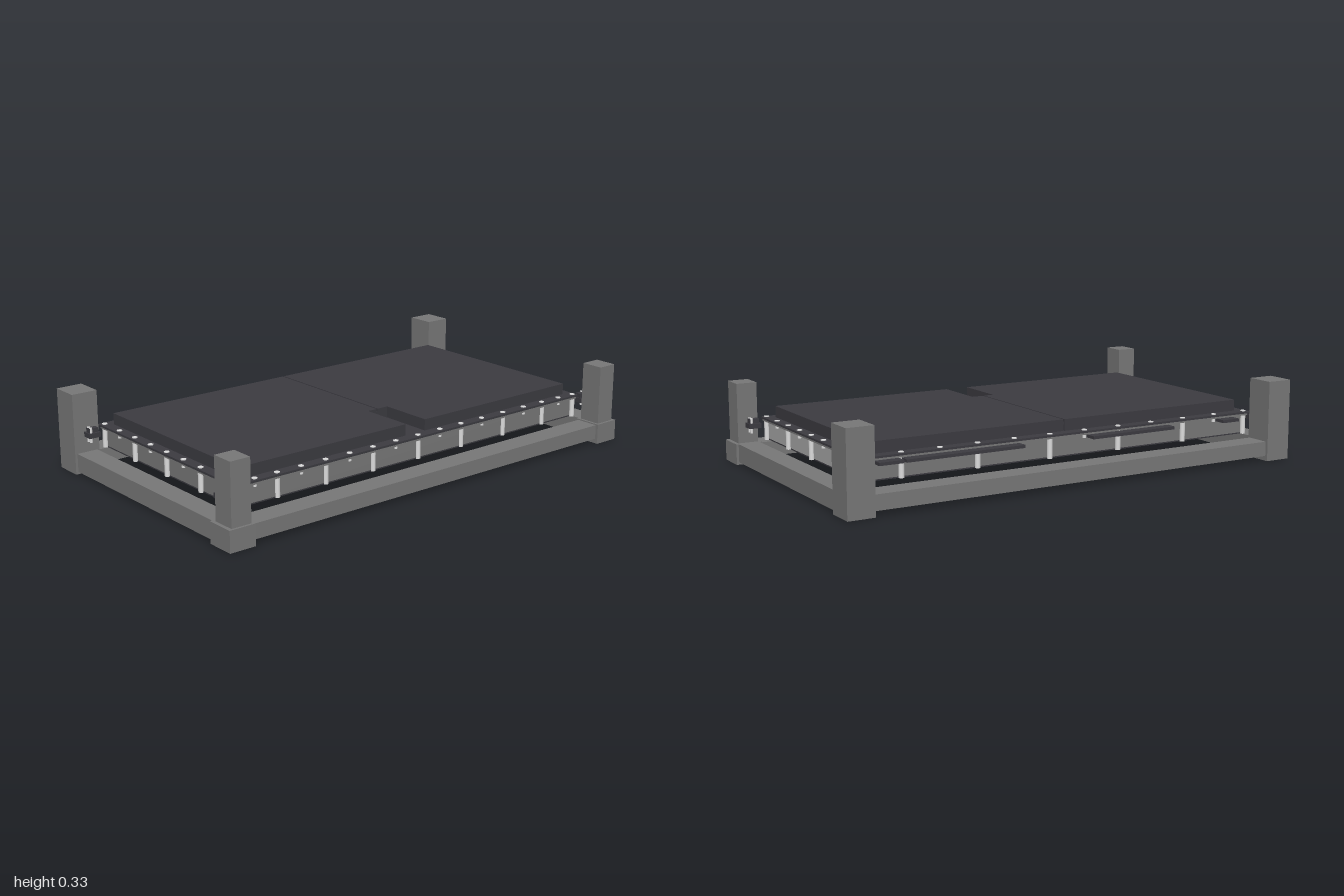
import * as THREE from 'three';

const mat = (name, color) => {
  const m = new THREE.MeshStandardMaterial({ color });
  m.name = name;
  return m;
};

export function createModel() {
  const model = new THREE.Group();
  model.name = 'framedHatch';
  const grey = mat('frame grey', 0x787878);
  const dark = mat('hatch charcoal', 0x3c3b41);
  const light = mat('bolt silver', 0xdcdcdc);
  const pale = mat('panel light grey', 0xa8a8a8);

  // Box given by its minimum and maximum corners
  function box(name, material, [x0, y0, z0], [x1, y1, z1]) {
    const g = new THREE.BoxGeometry(x1 - x0, y1 - y0, z1 - z0);
    g.translate((x0 + x1) / 2, (y0 + y1) / 2, (z0 + z1) / 2);
    const mesh = new THREE.Mesh(g, material);
    mesh.name = name;
    model.add(mesh);
  }
  function rod(name, material, radius, x, y0, y1, z) {
    const mesh = new THREE.Mesh(new THREE.CylinderGeometry(radius, radius, y1 - y0, 12), material);
    mesh.position.set(x, (y0 + y1) / 2, z);
    mesh.name = name;
    model.add(mesh);
  }

  // Corner posts and end beams
  for (const s of [-1, 1]) {
    const span = (a, b) => (s > 0 ? [a, b] : [-b, -a]);
    const [p0, p1] = span(0.89, 1);
    const [u0, u1] = span(0.9, 0.985);
    const [b0, b1] = span(0.9, 0.99);
    box('tallPost', grey, [-0.59, 0, p0], [-0.47, 0.33, p1]);
    box('postFoot', grey, [0.465, 0, p0], [0.585, 0.085, p1]);
    box('slimPost', grey, [0.48, 0.085, u0], [0.575, 0.33, u1]);
    box('endBeam', grey, [-0.47, 0.01, b0], [0.465, 0.085, b1]);
  }
  // Long side beams
  box('leftBeam', grey, [0.475, 0.02, -0.89], [0.573, 0.08, 0.89]);
  box('rightBeam', grey, [-0.578, 0.02, -0.89], [-0.478, 0.08, 0.89]);

  // Hatch body under the flange
  box('body', grey, [-0.447, 0.1, -0.865], [0.447, 0.175, 0.868]);
  box('backPanel', pale, [-0.447, 0.1, -0.868], [0.447, 0.175, -0.865]);
  box('bottomPlate', dark, [-0.447, 0.095, -0.868], [0.447, 0.1, 0.868]);
  box('gasket', grey, [-0.462, 0.173, -0.885], [0.462, 0.182, 0.885]);
  box('flange', dark, [-0.47, 0.182, -0.89], [0.465, 0.19, 0.89]);

  // Raised lid in two halves, with a seam and a latch recess between them
  for (const s of [-1, 1]) {
    const inner = 0.003;
    const notch = s > 0 ? 0.047 : 0.053;
    const shape = new THREE.Shape([
      [-0.425, inner], [0.195, inner], [0.195, notch],
      [0.42, notch], [0.42, 0.845], [-0.425, 0.845],
    ].map(([x, z]) => new THREE.Vector2(x, -s * z)));
    const g = new THREE.ExtrudeGeometry(shape, { depth: 0.046, bevelEnabled: false });
    g.rotateX(-Math.PI / 2);
    g.translate(0, 0.19, 0);
    const lid = new THREE.Mesh(g, dark);
    lid.name = 'lidHalf';
    model.add(lid);
  }
  box('seamFloor', dark, [-0.42, 0.19, -0.004], [0.195, 0.226, 0.004]);

  // Hinge tabs along the right edge
  for (const [z0, z1] of [[-0.83, -0.73], [-0.72, -0.22], [0.09, 0.48], [0.73, 0.81]]) {
    box('hingeTab', dark, [-0.5, 0.16, z0], [-0.44, 0.172, z1]);
  }

  // Flange bolts: every second one carries a long rod below
  function bolt(x, z, long) {
    rod('boltHead', light, 0.011, x, 0.188, 0.193, z);
    rod(long ? 'longRod' : 'shortRod', light, long ? 0.011 : 0.008, x, long ? 0.095 : 0.16, 0.182, z);
  }
  for (const z of [-0.872, 0.872]) {
    for (let i = 0; i < 9; i++) bolt(-0.45 + i * 0.1125, z, i % 2 === 0);
  }
  [-0.79, -0.69, -0.58, -0.46, -0.34, -0.225, -0.11, 0.005, 0.12, 0.235, 0.35, 0.465, 0.58, 0.69, 0.79]
    .forEach((z, i) => bolt(0.445, z, i % 2 === 1));
  for (let i = 0; i < 10; i++) bolt(-0.45, -0.718 + i * 0.1594, i % 2 === 0);

  // Corner brackets with paired screws
  for (const x of [-0.449, 0.449]) {
    for (const z of [-0.93, 0.93]) {
      box('cornerBracket', dark, [x - 0.022, 0.15, z - 0.025], [x + 0.022, 0.17, z + 0.025]);
      box('bracketArm', dark, [x - 0.012, 0.17, z - 0.02], [x + 0.012, 0.188, z + 0.02]);
      for (const d of [-0.009, 0.009]) {
        rod('bracketScrew', light, 0.006, x + d, 0.13, 0.191, z + Math.sign(z) * 0.012);
      }
    }
  }
  return model;
}
